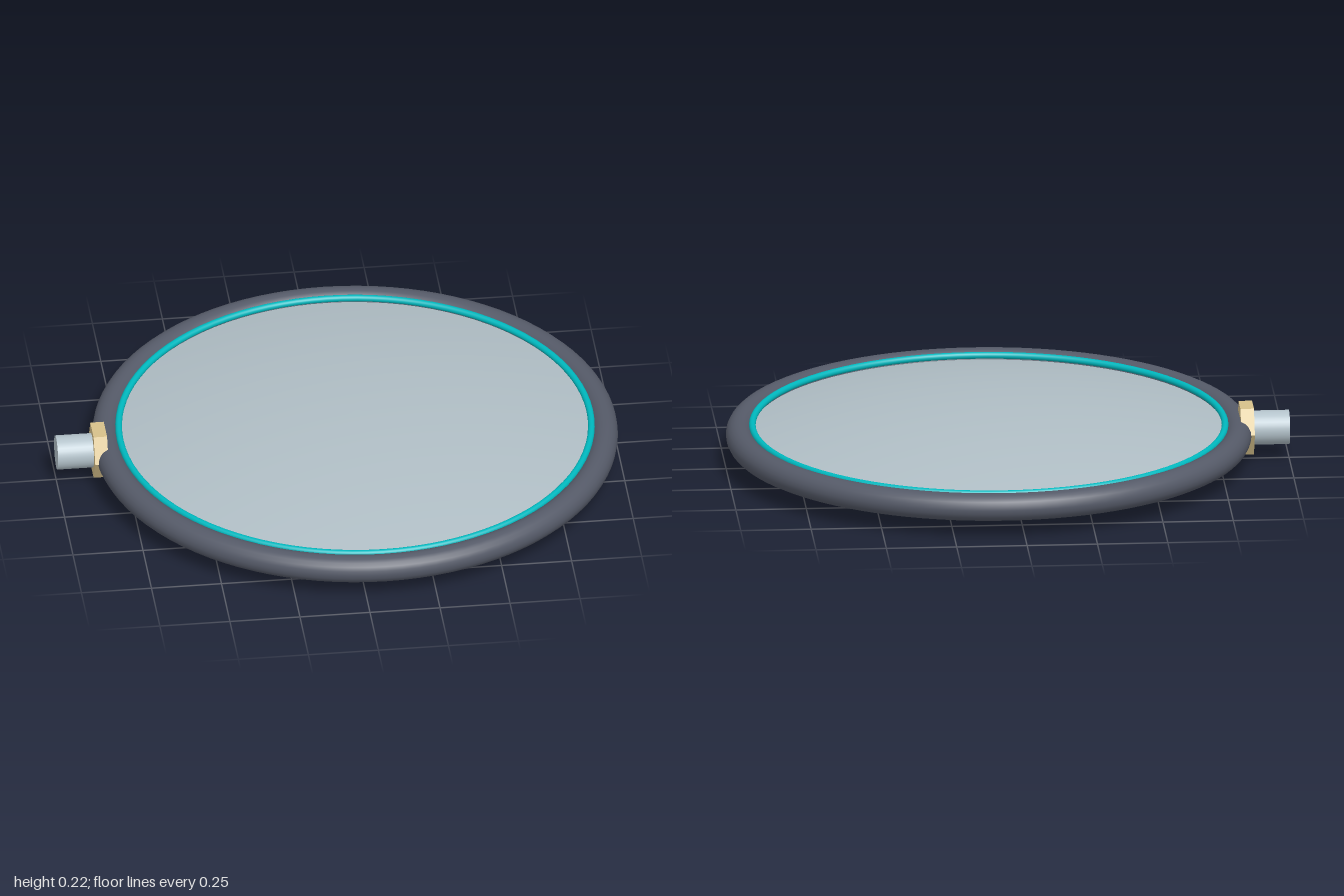
import * as THREE from 'three';

const material = (name, color) => {
  const m = new THREE.MeshStandardMaterial({ color });
  m.name = name;
  return m;
};

export function createModel() {
  const rubber = material('dark grey', 0x555a68);
  const glass = material('pale grey', 0xafbdc4);
  const steel = material('light steel', 0xb4c3cb);
  const brass = material('pale brass', 0xd6c08a);
  const teal = material('teal', 0x00b8be);

  const model = new THREE.Group();
  const disc = new THREE.Group();
  disc.name = 'disc';
  disc.position.set(0.067, 0.111, 0);
  model.add(disc);

  const add = (parent, name, geometry, mat) => {
    const mesh = new THREE.Mesh(geometry, mat);
    mesh.name = name;
    parent.add(mesh);
    return mesh;
  };
  const ring = (name, radius, tube, y, mat) => {
    const geometry = new THREE.TorusGeometry(radius, tube, 20, 96).rotateX(Math.PI / 2);
    add(disc, name, geometry, mat).position.y = y;
  };

  // Outer tube and the thin trim seated on both sides of its inner edge
  ring('outerTube', 0.883, 0.049, 0, rubber);
  ring('upperTrim', 0.838, 0.012, 0.035, teal);
  ring('lowerTrim', 0.838, 0.012, -0.024, teal);

  // Shallow domed membranes, top and bottom
  const steps = 16, edge = 0.835, crown = 0.109, rim = 0.02;
  const dome = (name, side) => {
    const profile = [];
    for (let i = 0; i <= steps; i++) {
      const t = side > 0 ? 1 - i / steps : i / steps;
      profile.push(new THREE.Vector2(edge * t, side * (crown - (crown - rim) * t * t)));
    }
    add(disc, name, new THREE.LatheGeometry(profile, 96), glass);
  };
  dome('upperMembrane', 1);
  dome('lowerMembrane', -1);

  // Side connector: round pipe through a hexagonal nut
  const connector = new THREE.Group();
  connector.name = 'connector';
  connector.position.y = 0.115;
  model.add(connector);
  const pipe = new THREE.CylinderGeometry(0.061, 0.061, 0.16, 32).rotateZ(Math.PI / 2);
  add(connector, 'pipe', pipe, steel).position.x = -0.92;
  const nut = new THREE.CylinderGeometry(0.098, 0.098, 0.048, 6).toNonIndexed().rotateZ(Math.PI / 2);
  nut.computeVertexNormals();
  add(connector, 'hexNut', nut, brass).position.x = -0.848;

  return model;
}
